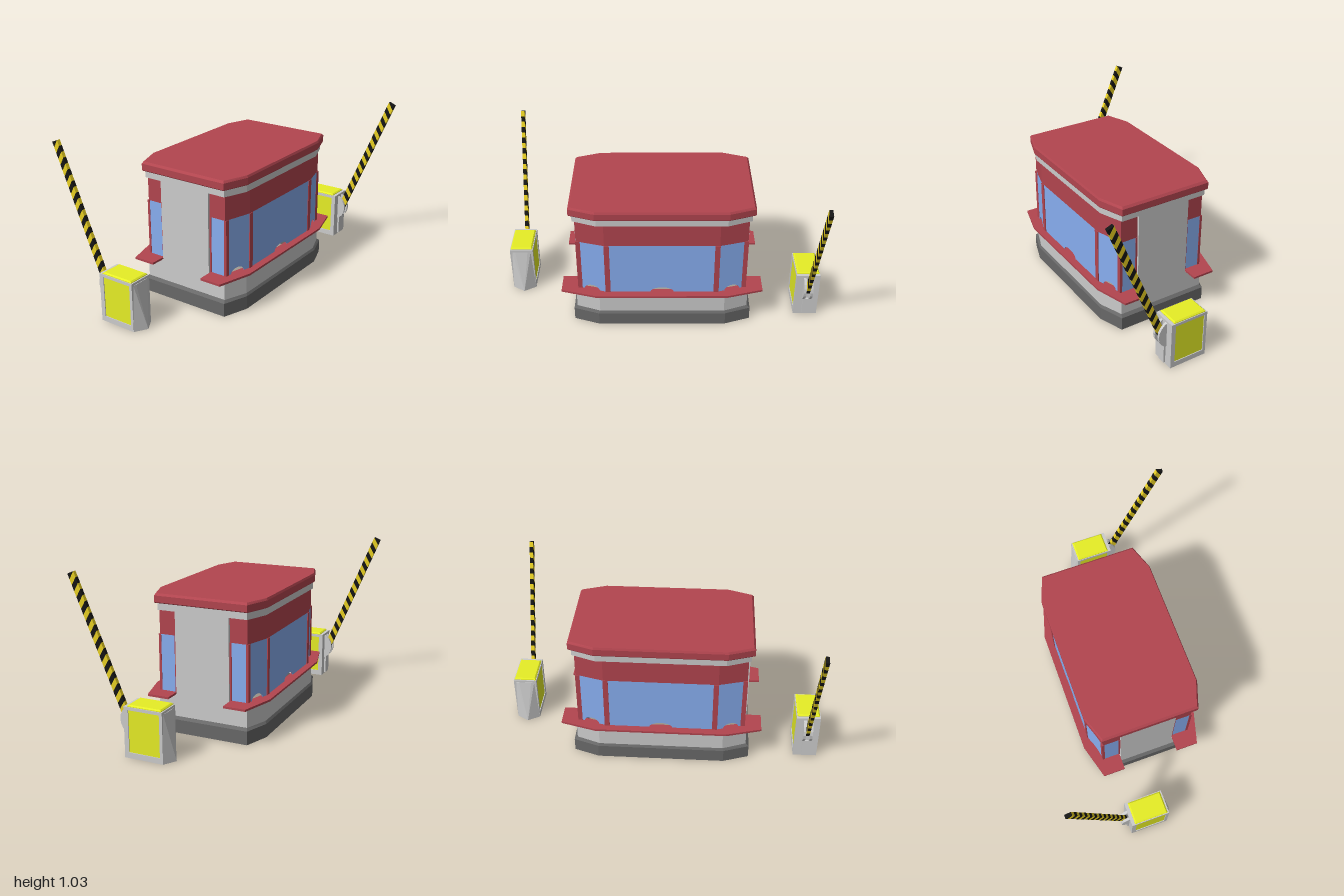
import * as THREE from 'three';
import { ConvexGeometry } from 'three/addons/geometries/ConvexGeometry.js';

const RED = 0xb2454f, BLUE = 0x88aef0, GREY = 0xcccccc, DARK = 0x686868, YELLOW = 0xe6ee26, AMBER = 0xe8cf22, BLACK = 0x151515;
const mats = {};
const mat = (color) => (mats[color] ??= new THREE.MeshStandardMaterial({ color, flatShading: true, side: THREE.DoubleSide }));

function add(parent, name, geo, color, x = 0, y = 0, z = 0) {
  const mesh = new THREE.Mesh(geo, mat(color));
  mesh.name = name;
  mesh.position.set(x, y, z);
  parent.add(mesh);
  return mesh;
}
const box = (w, h, d) => new THREE.BoxGeometry(w, h, d);
const polygon = (pts) => new THREE.Shape(pts.map(([x, y]) => new THREE.Vector2(x, y)));
const extrude = (shape, depth) => new THREE.ExtrudeGeometry(shape, { depth, bevelEnabled: false, curveSegments: 8 });

// Footprint of the booth: a rectangle with long cut corners, shrunk by an inset
function footprint(i) {
  const hx = 0.56 - i, hz = 0.355 - i * 0.5, a = 0.4 - i * 0.4, b = 0.3 - i * 0.5;
  return [[hx, b], [a, hz], [-a, hz], [-hx, b], [-hx, -b], [-a, -hz], [a, -hz], [hx, -b]];
}

// Hollow ring around the footprint from a closed [inset, y] profile
function ring(profile) {
  const rows = profile.map(([i, y]) => footprint(i).map(([x, z]) => [x, y, z]));
  const pos = [];
  rows.forEach((row, j) => {
    const up = rows[(j + 1) % rows.length];
    row.forEach((p, k) => {
      const n = (k + 1) % row.length;
      pos.push(...p, ...up[k], ...up[n], ...p, ...up[n], ...row[n]);
    });
  });
  const geo = new THREE.BufferGeometry();
  geo.setAttribute('position', new THREE.Float32BufferAttribute(pos, 3));
  geo.computeVertexNormals();
  return geo;
}

// Upright panel from p to q in plan, with an optional arched opening at its foot
function panel(parent, name, color, p, q, y0, y1, thick, arch = 0) {
  const dx = q[0] - p[0], dz = q[1] - p[1], len = Math.hypot(dx, dz), h = y1 - y0;
  const s = new THREE.Shape();
  s.moveTo(0, 0);
  if (arch) {
    s.lineTo(len / 2 - arch, 0);
    s.absellipse(len / 2, 0, arch, 0.037, Math.PI, 0, true);
  }
  s.lineTo(len, 0);
  s.lineTo(len, h);
  s.lineTo(0, h);
  const geo = extrude(s, thick).translate(0, 0, -thick);
  add(parent, name, geo, color, p[0], y0, p[1]).rotation.y = Math.atan2(-dz, dx);
}

// One wrap-around window front with counter
function windowFront() {
  const g = new THREE.Group();
  g.name = 'windowFront';
  const path = [[-0.525, 0.175], [-0.525, 0.286], [-0.35, 0.336], [0.35, 0.336], [0.525, 0.286], [0.525, 0.175]];
  const arches = [0, 0.05, 0.073, 0.05, 0];
  arches.forEach((arch, i) => {
    panel(g, 'windowHeader', RED, path[i], path[i + 1], 0.6, 0.75, 0.02);
    panel(g, 'windowPane', BLUE, path[i], path[i + 1], 0.245, 0.6, 0.006, arch);
  });
  for (const s of [-1, 1]) {
    add(g, 'windowPost', box(0.032, 0.36, 0.022), RED, s * 0.337, 0.42, 0.329);
    add(g, 'cornerPost', box(0.028, 0.36, 0.016), RED, s * 0.513, 0.42, 0.286);
    add(g, 'endPost', box(0.028, 0.36, 0.012), RED, s * 0.514, 0.42, 0.181);
  }
  const half = [[0.41, 0.382], [0.63, 0.32], [0.63, 0.18], [0.495, 0.18], [0.495, 0.27], [0.34, 0.312]];
  const outline = [...half, ...half.map(([x, z]) => [-x, z]).reverse()].map(([x, z]) => [x, -z]);
  add(g, 'counter', extrude(polygon(outline), 0.013).rotateX(-Math.PI / 2), RED, 0, 0.235, 0);
  return g;
}

function booth() {
  const g = new THREE.Group();
  g.name = 'booth';
  add(g, 'plinth', ring([[0, 0], [0, 0.085], [0.018, 0.1], [0.05, 0.1], [0.05, 0]]), DARK);
  add(g, 'lowerWall', ring([[0.02, 0.1], [0.02, 0.237], [0.05, 0.237], [0.05, 0.1]]), GREY);
  add(g, 'upperWall', ring([[0.02, 0.75], [0.02, 0.8], [0.05, 0.8], [0.05, 0.75]]), GREY);
  for (const s of [-1, 1]) add(g, 'sideWall', box(0.03, 0.515, 0.35), GREY, s * 0.525, 0.4935, 0);
  const roof = [[0.004, 0.795], [0, 0.8], [0, 0.84], [0.012, 0.853]]
    .flatMap(([i, y]) => footprint(i).map(([x, z]) => new THREE.Vector3(x, y, z)));
  add(g, 'roof', new ConvexGeometry(roof), RED);
  const front = windowFront(), back = windowFront();
  back.rotation.y = Math.PI;
  g.add(front, back);
  g.position.z = 0.005;
  return g;
}

// Striped arm in its own frame: x is its width (inner edge at +x), y its length
function arm() {
  const g = new THREE.Group();
  g.name = 'barrierArm';
  const L = 0.888, w = 0.022, step = 0.0355, slant = 0.034;
  const clamp = (v) => Math.min(L, Math.max(0, v));
  for (let k = -1; k * step < L; k++) {
    const b = L - k * step, a = b - step;
    const s = polygon([[w, clamp(a)], [w, clamp(b)], [-w, clamp(b - slant)], [-w, clamp(a - slant)]]);
    add(g, 'armStripe', extrude(s, 0.022).translate(0, 0, -0.011), k % 2 ? BLACK : AMBER);
  }
  return g;
}

function barrier() {
  const g = new THREE.Group();
  g.name = 'barrier';
  const z0 = 0.015, z1 = 0.26, zc = (z0 + z1) / 2, d = z1 - z0;
  add(g, 'cabinet', box(0.126, 0.305, d), GREY, 0, 0.1525, zc);

  // Framed side panels
  const frame = polygon([[z0, 0], [z1, 0], [z1, 0.305], [z0, 0.305]]);
  frame.holes.push(polygon([[0.034, 0.034], [0.034, 0.287], [0.232, 0.287], [0.232, 0.034]]));
  for (const s of [-1, 1]) {
    const geo = extrude(frame, 0.014).rotateY(-Math.PI / 2);
    add(g, 'sideFrame', geo, GREY, s > 0 ? 0.075 : -0.061);
    add(g, 'sidePanel', box(0.008, 0.253, 0.198), YELLOW, s * 0.066, 0.1605, 0.133);
  }
  const lid = [[0.07, 0.108, 0.3], [0.07, 0.108, 0.309], [0.062, 0.1, 0.316]].flatMap(([x, z, y]) =>
    [[1, 1], [1, -1], [-1, 1], [-1, -1]].map(([a, b]) => new THREE.Vector3(a * x, y, zc - 0.006 + b * z)));
  add(g, 'lid', new ConvexGeometry(lid), YELLOW);

  // Tapered rear with a pointed foot
  const rear = [[-0.075, 0, z0], [0.075, 0, z0], [-0.06, 0.29, z0], [0.06, 0.29, z0], [0, 0, -0.03], [-0.04, 0.29, 0.012], [0.04, 0.29, 0.012]];
  add(g, 'cabinetRear', new ConvexGeometry(rear.map((p) => new THREE.Vector3(...p))), GREY);

  // Hinge cheeks and the cover below them
  for (const s of [-1, 1]) {
    const cheek = new THREE.CylinderGeometry(0.093, 0.093, 0.016, 20).rotateZ(Math.PI / 2);
    add(g, 'hingeCheek', cheek, GREY, s * 0.021, 0.208, 0.22);
  }
  add(g, 'hingeCore', new THREE.CylinderGeometry(0.06, 0.06, 0.03, 16).rotateZ(Math.PI / 2), DARK, 0, 0.208, 0.22);
  add(g, 'hingeCover', box(0.046, 0.12, 0.016), GREY, 0, 0.07, 0.264);

  const pole = arm();
  pole.rotation.set(0, Math.PI / 2, 0);
  const tilt = new THREE.Group();
  tilt.name = 'armTilt';
  tilt.add(pole);
  tilt.position.set(0, 0.2, 0.275);
  tilt.rotation.x = Math.atan(0.415);
  g.add(tilt);
  return g;
}

export function createModel() {
  const model = new THREE.Group();
  model.name = 'ticketBooth';
  model.add(booth());
  for (const s of [-1, 1]) {
    const b = barrier();
    b.position.x = s * 0.925;
    if (s < 0) b.rotation.y = Math.PI;
    model.add(b);
  }
  return model;
}
